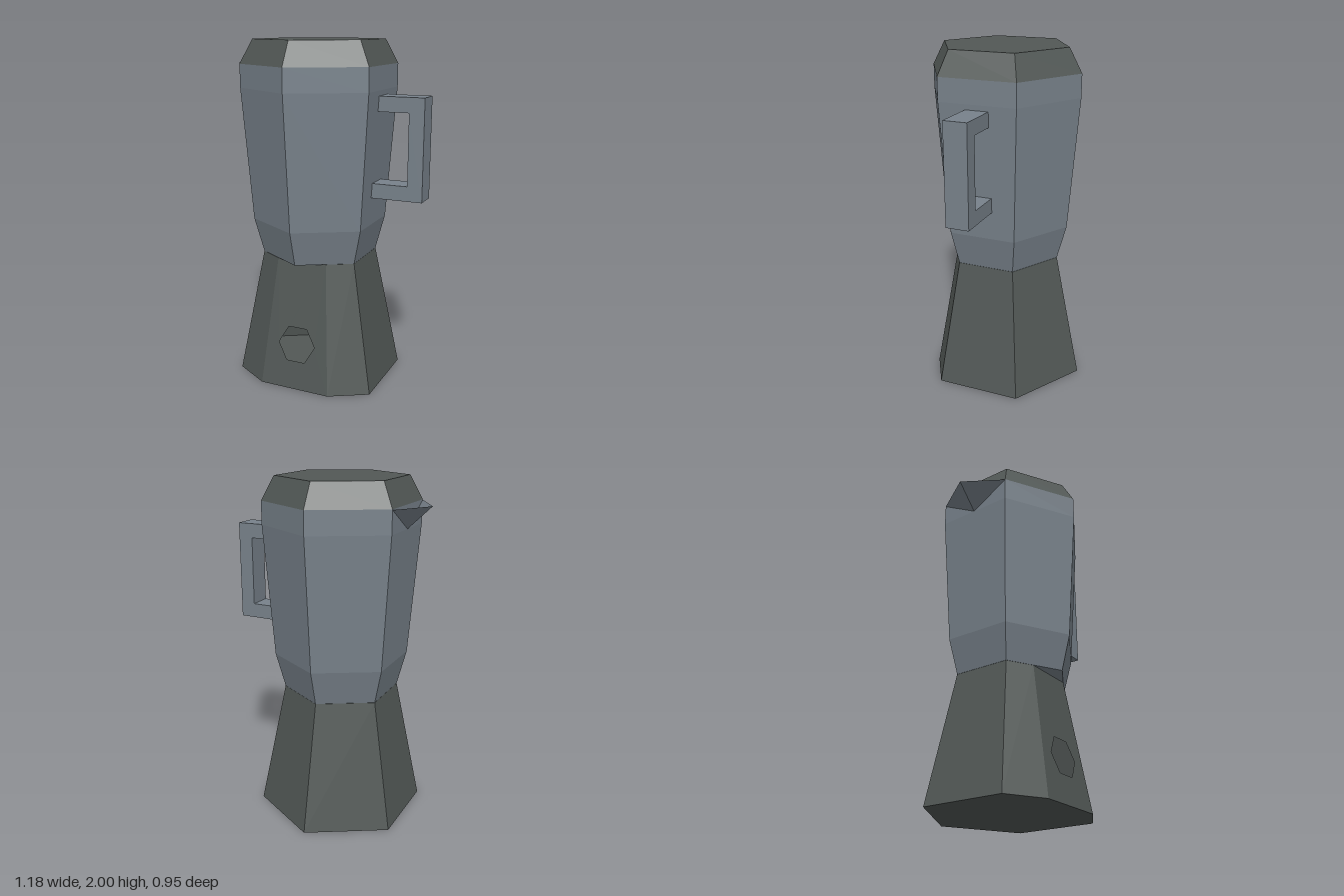
import * as THREE from 'three';

const S = Math.sqrt(3) / 2;
const steel = new THREE.MeshStandardMaterial({ color: 0x78828b });
steel.name = 'steelGrey';
const dark = new THREE.MeshStandardMaterial({ color: 0x525856 });
dark.name = 'darkGrey';
for (const m of [steel, dark]) {
  m.flatShading = true;
  m.side = THREE.DoubleSide;
}

const BASE_H = 0.755;
const LOW = { r: 0.494, cut: 0.37, y: 0 };
const HIGH = { r: 0.338, cut: 0.25, y: BASE_H };

function add(parent, name, geometry, material) {
  const mesh = new THREE.Mesh(geometry, material);
  mesh.name = name;
  parent.add(mesh);
  return mesh;
}

function fromTriangles(tris) {
  const g = new THREE.BufferGeometry().setFromPoints(tris.flat());
  g.computeVertexNormals();
  return g;
}

// Six-sided turned form, corners pointing to front and back
function hexLathe(profile) {
  return new THREE.LatheGeometry(profile.map(([r, y]) => new THREE.Vector2(r, y)), 6);
}

// Half-width of the flat front cut on a hexagon
const cutHalf = ({ r, cut }) => S * r * (r - cut) / (r / 2);

// Hexagon with its front corner cut off, listed from front +x round to front -x
function section(s) {
  const c = cutHalf(s), h = S * s.r;
  return [[c, s.cut], [h, s.r / 2], [h, -s.r / 2], [0, -s.r], [-h, -s.r / 2], [-h, s.r / 2], [-c, s.cut]]
    .map(([x, z]) => new THREE.Vector3(x, s.y, z));
}

// Hollow base: side walls, floor and top
function baseShell() {
  const a = section(LOW), b = section(HIGH), tris = [];
  for (let i = 0; i < 6; i++) {
    tris.push([a[i], a[i + 1], b[i + 1]], [a[i], b[i + 1], b[i]]);
    if (i > 0) tris.push([a[0], a[i + 1], a[i]], [b[0], b[i], b[i + 1]]);
  }
  return fromTriangles(tris);
}

// Sloping front panel with a six-sided opening
function frontPanel() {
  const w0 = cutHalf(LOW), w1 = cutHalf(HIGH);
  const shape = new THREE.Shape([[-w0, 0], [w0, 0], [w1, BASE_H], [-w1, BASE_H]]
    .map(([x, y]) => new THREE.Vector2(x, y)));
  const hole = [];
  for (let i = 0; i < 6; i++) {
    const t = -i * Math.PI / 3;
    hole.push(new THREE.Vector2(0.115 * Math.cos(t), 0.265 + 0.115 * Math.sin(t)));
  }
  shape.holes.push(new THREE.Path(hole));
  const g = new THREE.ShapeGeometry(shape);
  const p = g.attributes.position;
  for (let i = 0; i < p.count; i++) {
    p.setZ(i, THREE.MathUtils.lerp(LOW.cut, HIGH.cut, p.getY(i) / BASE_H));
  }
  g.computeVertexNormals();
  return g;
}

// Open V-shaped pouring lip
function spout() {
  const x = -0.3925;
  const tip = new THREE.Vector3(-0.53, 1.86, 0);
  const low = new THREE.Vector3(x, 1.73, 0);
  const front = new THREE.Vector3(x, 1.86, 0.2265);
  const back = new THREE.Vector3(x, 1.86, -0.2265);
  return fromTriangles([[tip, low, front], [tip, back, low]]);
}

// Squared bracket handle, ends sunk into the sloping wall
function handle() {
  const shape = new THREE.Shape([
    [0.34, 1.125], [0.65, 1.125], [0.65, 1.7], [0.375, 1.7],
    [0.375, 1.615], [0.563, 1.615], [0.563, 1.21], [0.34, 1.21],
  ].map(([x, y]) => new THREE.Vector2(x, y)));
  const g = new THREE.ExtrudeGeometry(shape, { depth: 0.135, bevelEnabled: false });
  g.translate(0, 0, -0.0675);
  return g;
}

export function createModel() {
  const model = new THREE.Group();
  model.name = 'blender';
  const body = new THREE.Group();
  body.name = 'body';
  body.position.set(-0.0613, 0, 0.02);
  model.add(body);

  const base = new THREE.Group();
  base.name = 'base';
  body.add(base);
  add(base, 'baseShell', baseShell(), dark);
  add(base, 'baseFrontPanel', frontPanel(), dark);

  add(body, 'jar', hexLathe([[0, 0.756], [0.338, 0.756], [0.393, 0.96], [0.453, 1.73], [0.453, 1.863]]), steel);
  add(body, 'lid', hexLathe([[0, 1.863], [0.453, 1.863], [0.378, 2], [0, 2]]), dark);
  add(body, 'spout', spout(), steel);
  add(body, 'handle', handle(), steel);
  return model;
}
